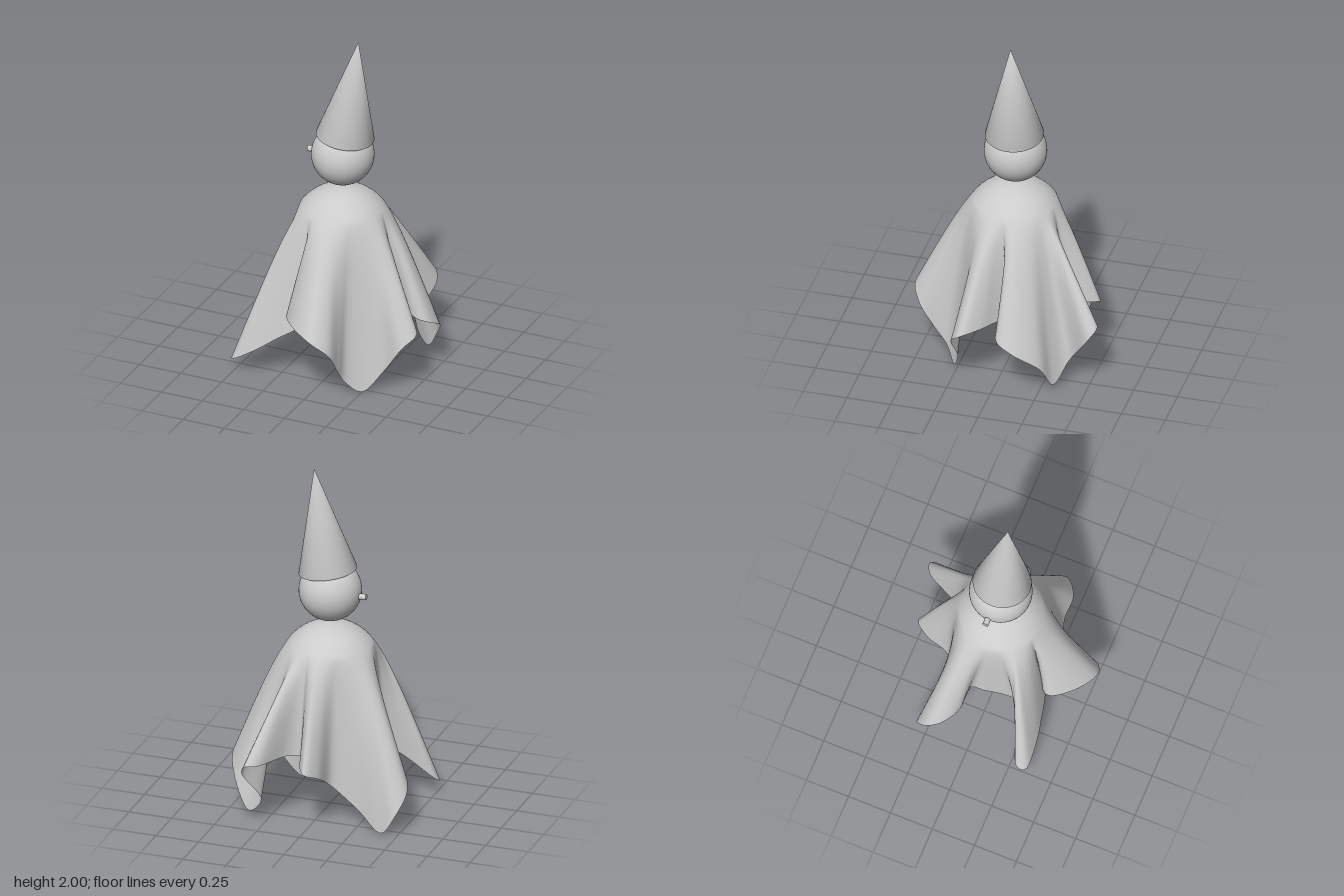
import * as THREE from 'three';
import { mergeVertices } from 'three/addons/utils/BufferGeometryUtils.js';

const COLS = 260, DOME_ROWS = 10, SKIRT_ROWS = 26;
const DOME_R = 0.295, DOME_Y = 0.795, SHOULDER = 0.9;

// Hem of the draped cloth, counter-clockwise from above: four low corners, raised folds between
const hemPoints = [
  [0.25, 0, 0.28], [0.36, 0.13, 0.225], [0.47, 0.29, 0.235], [0.53, 0.36, 0.17], [0.46, 0.38, 0.075],
  [0.36, 0.385, 0], [0.3, 0.385, -0.06], [0.37, 0.38, -0.04], [0.44, 0.36, -0.015], [0.5, 0.34, -0.035],
  [0.525, 0.29, -0.13], [0.46, 0.18, -0.27], [0.365, 0.035, -0.325], [0.265, 0.14, -0.385], [0.335, 0.34, -0.515],
  [0.3, 0.4, -0.555], [0.245, 0.4, -0.53], [0.13, 0.4, -0.33], [0.07, 0.395, -0.3], [0.03, 0.385, -0.42],
  [-0.02, 0.37, -0.49], [-0.075, 0.33, -0.42], [-0.105, 0.23, -0.275], [-0.25, 0.1, -0.25], [-0.4, 0, -0.295],
  [-0.49, 0.12, -0.305], [-0.53, 0.23, -0.23], [-0.5, 0.29, -0.15], [-0.41, 0.35, -0.08], [-0.33, 0.37, -0.075],
  [-0.275, 0.38, -0.065], [-0.265, 0.37, 0], [-0.24, 0.35, 0.1], [-0.235, 0.32, 0.185], [-0.35, 0.235, 0.235],
  [-0.515, 0.09, 0.3], [-0.51, 0.075, 0.35], [-0.38, 0.15, 0.36], [-0.24, 0.25, 0.34], [-0.12, 0.33, 0.31],
  [-0.075, 0.38, 0.265], [-0.13, 0.41, 0.29], [-0.175, 0.42, 0.345], [-0.09, 0.42, 0.47], [0.06, 0.38, 0.55],
  [0.15, 0.3, 0.505], [0.165, 0.16, 0.41], [0.175, 0.07, 0.34],
];

function clothGeometry() {
  const curve = new THREE.CatmullRomCurve3(hemPoints.map((p) => new THREE.Vector3(...p)), true);
  curve.arcLengthDivisions = 800;
  const hem = curve.getSpacedPoints(COLS).slice(0, COLS);
  // Each hem point hangs from a shoulder angle averaged over its neighbours
  const angles = hem.map((_, j) => {
    let x = 0, z = 0;
    for (let k = -14; k <= 14; k++) {
      const h = hem[(j + k + COLS) % COLS], r = Math.hypot(h.x, h.z);
      x += h.x / r;
      z += h.z / r;
    }
    return Math.atan2(z, x);
  });

  const rows = DOME_ROWS + SKIRT_ROWS, pos = [], index = [];
  for (let i = 0; i <= rows; i++) {
    for (let j = 0; j < COLS; j++) {
      const c = Math.cos(angles[j]), s = Math.sin(angles[j]);
      const phi = SHOULDER * Math.min(1, i / DOME_ROWS);
      const r = DOME_R * Math.sin(phi);
      const p = new THREE.Vector3(r * c, DOME_Y + DOME_R * Math.cos(phi), r * s);
      if (i > DOME_ROWS) {
        // Skirt leaves the dome along its tangent, further on wide folds, then falls to the hem
        const t = (i - DOME_ROWS) / SKIRT_ROWS;
        const reach = 0.05 + 0.3 * Math.max(0, Math.hypot(hem[j].x, hem[j].z) - 0.25);
        const k = reach * Math.cos(SHOULDER);
        const mid = new THREE.Vector3(p.x + k * c, p.y - reach * Math.sin(SHOULDER), p.z + k * s);
        const mid2 = mid.clone().lerp(hem[j], 0.4);
        p.copy(new THREE.CubicBezierCurve3(p.clone(), mid, mid2, hem[j]).getPoint(t));
      }
      pos.push(p.x, p.y, p.z);
    }
  }
  for (let i = 0; i < rows; i++) {
    for (let j = 0; j < COLS; j++) {
      const a = i * COLS + j, b = i * COLS + (j + 1) % COLS;
      if (i > 0) index.push(a, a + COLS, b);
      index.push(b, a + COLS, b + COLS);
    }
  }
  const g = new THREE.BufferGeometry();
  g.setAttribute('position', new THREE.Float32BufferAttribute(pos, 3));
  g.setIndex(index);
  g.computeVertexNormals();
  // The pole faces straight up
  for (let j = 0; j < COLS; j++) g.attributes.normal.setXYZ(j, 0, 1, 0);
  return g;
}

// Closed cone with normals running smoothly over the rim
function hatGeometry(radius, height) {
  const cone = new THREE.ConeGeometry(radius, height, 64);
  cone.deleteAttribute('normal');
  cone.deleteAttribute('uv');
  const g = mergeVertices(cone);
  g.computeVertexNormals();
  return g;
}

export function createModel() {
  const group = new THREE.Group();
  const grey = new THREE.MeshStandardMaterial({ color: 0xcccccc });
  const thin = new THREE.MeshStandardMaterial({ color: 0xcccccc, side: THREE.DoubleSide });
  const add = (name, geometry, material = grey) => {
    const mesh = new THREE.Mesh(geometry, material);
    mesh.name = name;
    group.add(mesh);
    return mesh;
  };

  add('cloak', clothGeometry(), thin);

  // Head floats just above the cloak
  add('head', new THREE.SphereGeometry(0.175, 48, 32)).position.set(0, 1.288, -0.005);

  // Small peg nose
  const nose = add('nose', new THREE.CylinderGeometry(0.017, 0.017, 0.06, 24));
  nose.rotation.z = Math.PI / 2;
  nose.position.set(-0.183, 1.275, -0.01);

  // Pointed hat, tilted toward +x
  const base = new THREE.Vector3(0.015, 1.403, -0.003), apex = new THREE.Vector3(0.096, 2, -0.003);
  const axis = apex.clone().sub(base);
  const hat = add('hat', hatGeometry(0.163, axis.length()));
  hat.position.copy(base).add(apex).multiplyScalar(0.5);
  hat.quaternion.setFromUnitVectors(new THREE.Vector3(0, 1, 0), axis.normalize());

  return group;
}
